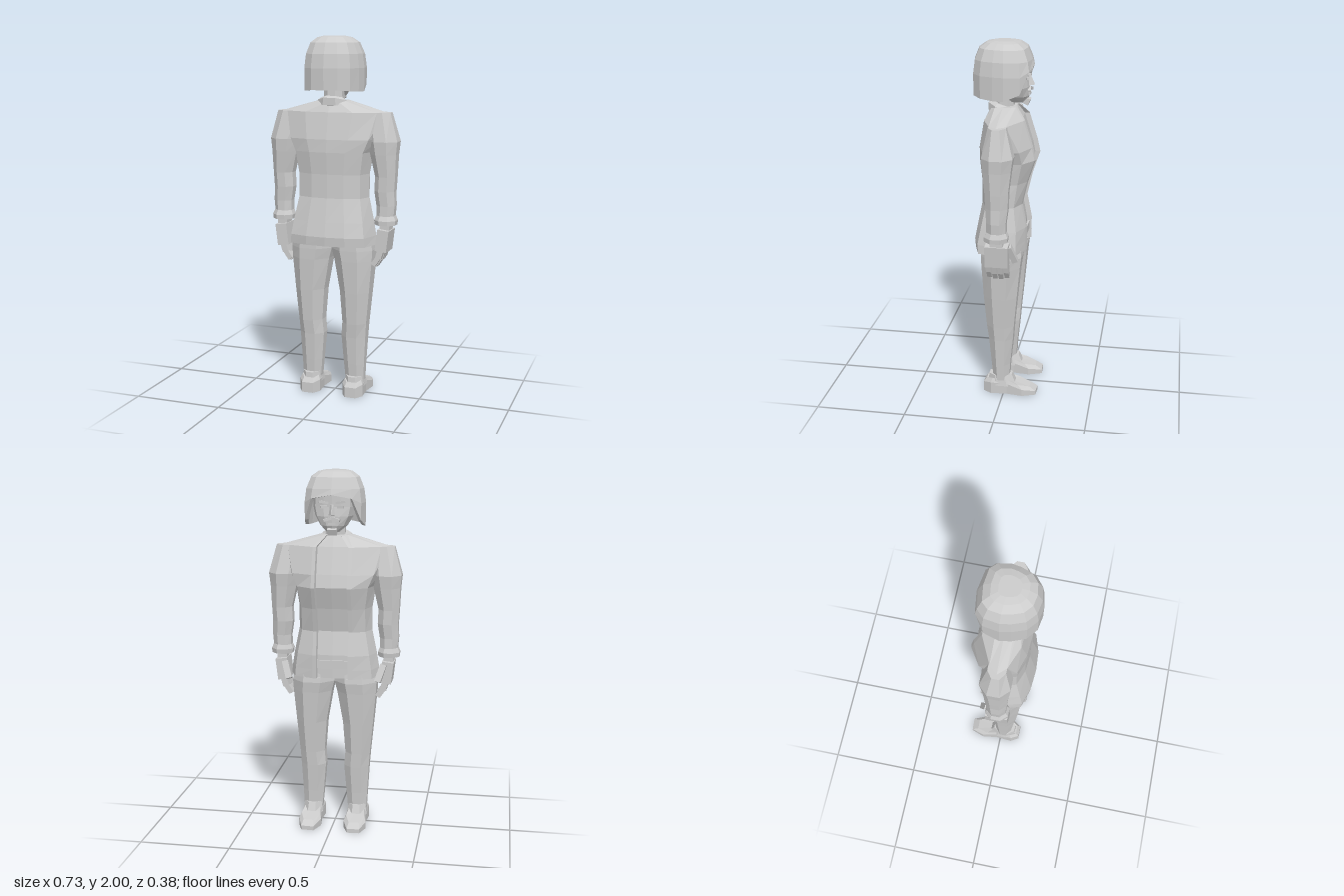
import * as THREE from 'three';

const grey = new THREE.MeshStandardMaterial({ color: 0xcccccc });
grey.name = 'plain grey';

// Flat-shaded skin over rings listed bottom to top, each counter-clockwise from above
function loft(rings, capBottom = true, capTop = true) {
  const pos = [];
  const tri = (...pts) => pts.forEach(p => pos.push(...p));
  const n = rings[0].length;
  for (let i = 0; i < rings.length - 1; i++) {
    for (let j = 0; j < n; j++) {
      const k = (j + 1) % n, lo = rings[i], hi = rings[i + 1];
      tri(lo[j], lo[k], hi[k]);
      tri(lo[j], hi[k], hi[j]);
    }
  }
  const cap = (ring, up) => {
    const mid = [0, 1, 2].map(a => ring.reduce((s, p) => s + p[a], 0) / n);
    ring.forEach((p, j) => {
      const q = ring[(j + 1) % n];
      up ? tri(mid, p, q) : tri(mid, q, p);
    });
  };
  if (capBottom) cap(rings[0], false);
  if (capTop) cap(rings[rings.length - 1], true);
  const geo = new THREE.BufferGeometry();
  geo.setAttribute('position', new THREE.Float32BufferAttribute(pos, 3));
  geo.computeVertexNormals();
  return geo;
}

// Octagonal ring given by its x and z extents; tilt raises the back
function oct(y, x0, x1, z0, z1, tilt = 0) {
  const ring = [];
  for (let i = 0; i < 8; i++) {
    const t = (i + 0.5) * Math.PI / 4, k = 1 / Math.cos(Math.PI / 8);
    const dz = -Math.sin(t) * k * (z1 - z0) / 2;
    ring.push([(x0 + x1) / 2 + Math.cos(t) * k * (x1 - x0) / 2, y + dz * tilt, (z0 + z1) / 2 + dz]);
  }
  return ring;
}

// Full ring from a half outline running from the back centre round to the front centre
const whole = half => [...half, ...half.slice(1, -1).reverse().map(([x, y, z]) => [-x, y, z])];
const flip = ring => ring.map(([x, y, z]) => [-x, y, z]).reverse();

export function createModel() {
  const model = new THREE.Group();
  model.name = 'figure';
  const add = (name, geo, parent = model) => {
    const mesh = new THREE.Mesh(geo, grey);
    mesh.name = name;
    parent.add(mesh);
    return mesh;
  };
  const box = (name, size, at, rot = [0, 0, 0], parent = model) => {
    const mesh = add(name, new THREE.BoxGeometry(...size), parent);
    mesh.position.set(...at);
    mesh.rotation.set(...rot);
    return mesh;
  };

  // Open jacket with a recessed shirt between its front edges: y, half width, back z, front z
  const jacket = [
    [0.87, 0.25, 0.17, -0.115], [0.92, 0.245, 0.175, -0.115], [1.0, 0.232, 0.16, -0.115],
    [1.13, 0.205, 0.135, -0.09], [1.26, 0.205, 0.135, -0.12], [1.38, 0.225, 0.145, -0.16],
    [1.45, 0.26, 0.143, -0.145], [1.595, 0.30, 0.115, -0.10], [1.655, 0.085, 0.085, -0.05]
  ].map(([y, w, b, f]) => {
    const e = Math.min(0.088, w * 0.45), d = y > 1.6 ? 0.005 : 0.022, hi = y > 1.5;
    return whole([
      [0, y, b], [w * 0.45, y, b - 0.008], [w * 0.86, y, hi ? 0.06 : b - 0.04], [w, y, 0.015],
      [w * 0.86, y, hi ? -0.03 : f * 0.65], [e + 0.02, y, f], [e, y, f - 0.005],
      [e - 0.004, y, f + d], [0, y, f + d - 0.006]
    ]);
  });
  add('jacket', loft(jacket));
  box('belt', [0.17, 0.045, 0.01], [0, 0.95, -0.104]);

  // Tilted collar and neck
  add('collar', loft([
    oct(1.61, -0.09, 0.09, -0.05, 0.10, 0.3), oct(1.65, -0.08, 0.08, -0.045, 0.10, 0.3),
    oct(1.665, -0.06, 0.06, -0.03, 0.08, 0.3)]));
  add('neck', loft([oct(1.6, -0.055, 0.055, -0.035, 0.07), oct(1.8, -0.05, 0.05, -0.03, 0.06)]));

  for (const s of [1, -1]) {
    const side = s > 0 ? 'left' : 'right';
    const paired = (name, rings) => add(side + name, loft(s > 0 ? rings : rings.map(flip)));

    // Sleeve with broad shoulder and flared cuff
    paired('Sleeve', [
      oct(1.0, 0.25, 0.345, -0.04, 0.065), oct(1.09, 0.25, 0.353, -0.04, 0.064),
      oct(1.17, 0.238, 0.35, -0.05, 0.07), oct(1.25, 0.242, 0.355, -0.052, 0.072),
      oct(1.37, 0.215, 0.36, -0.065, 0.085), oct(1.44, 0.2, 0.367, -0.075, 0.09),
      oct(1.595, 0.19, 0.325, -0.035, 0.06)]);
    paired('Cuff', [
      oct(0.985, 0.243, 0.358, -0.047, 0.077), oct(1.01, 0.24, 0.36, -0.05, 0.078),
      oct(1.035, 0.25, 0.35, -0.04, 0.065)]);

    // Hand with four curled fingers and a thumb
    const hand = new THREE.Group();
    hand.name = side + 'Hand';
    model.add(hand);
    box('wrist', [0.055, 0.06, 0.07], [s * 0.30, 0.975, 0.012], [0, 0, 0], hand);
    box('palm', [0.065, 0.12, 0.125], [s * 0.293, 0.90, 0.012], [0, 0, s * -0.12], hand);
    for (let i = 0; i < 4; i++) {
      const z = 0.06 - i * 0.032, drop = i === 0 || i === 3 ? 0.008 : 0;
      box('fingerBase', [0.034, 0.065, 0.028], [s * 0.282, 0.825 + drop, z], [0, 0, s * -0.3], hand);
      box('fingerTip', [0.028, 0.055, 0.026], [s * 0.259, 0.778 + drop, z], [0, 0, s * -0.6], hand);
    }
    box('thumb', [0.035, 0.10, 0.032], [s * 0.262, 0.90, -0.063], [0.35, 0, s * -0.3], hand);

    // Trouser leg
    paired('TrouserLeg', [
      oct(0.08, 0.075, 0.18, -0.03, 0.06), oct(0.18, 0.066, 0.185, -0.036, 0.07),
      oct(0.34, 0.053, 0.194, -0.052, 0.085), oct(0.42, 0.06, 0.2, -0.058, 0.095),
      oct(0.6, 0.047, 0.217, -0.075, 0.11), oct(0.78, 0.016, 0.233, -0.092, 0.122),
      oct(0.84, 0, 0.236, -0.1, 0.125), oct(0.92, 0, 0.225, -0.09, 0.125)]);

    // Shoe: heel to toe outline with a sloping upper: x, z, top height, inward pull
    const outline = [
      [0.095, 0.115, 0.07], [0.16, 0.115, 0.07], [0.187, 0.07, 0.08], [0.18, -0.02, 0.075],
      [0.192, -0.11, 0.05], [0.165, -0.185, 0.035], [0.095, -0.188, 0.035],
      [0.065, -0.11, 0.05], [0.075, -0.02, 0.075], [0.068, 0.07, 0.08]];
    const pull = (k, h) => outline.map(([x, z, y]) => [0.128 + (x - 0.128) * k, y + h, 0.02 + (z - 0.02) * k]);
    paired('Shoe', [outline.map(([x, z]) => [x, 0, z]), pull(1, -0.012), pull(0.82, 0.012)]);
    paired('ShoeCollar', [oct(0.05, 0.07, 0.186, -0.07, 0.09), oct(0.11, 0.08, 0.175, -0.045, 0.085)]);
  }

  // Face, narrowing to a jutting chin: y, half width, back z, front z
  add('face', loft([
    [1.675, 0.035, -0.02, -0.1], [1.71, 0.075, 0.04, -0.115], [1.76, 0.105, 0.08, -0.118],
    [1.81, 0.118, 0.1, -0.112], [1.9, 0.115, 0.1, -0.115]
  ].map(([y, w, b, f]) => whole([
    [0, y, b], [w * 0.8, y, b * 0.6 - 0.01], [w, y, (b + f) / 2 - 0.01],
    [w * 0.8, y, f * 0.78], [w * 0.4, y, f * 0.95], [0, y, f]]))));
  add('nose', loft([
    [[0, 1.762, -0.105], [0.02, 1.765, -0.112], [0, 1.768, -0.145], [-0.02, 1.765, -0.112]],
    [[0, 1.825, -0.1], [0.009, 1.825, -0.11], [0, 1.825, -0.12], [-0.009, 1.825, -0.11]]]));
  for (const s of [1, -1]) {
    box('eyebrow', [0.05, 0.012, 0.014], [s * 0.045, 1.835, -0.11], [0, s * 0.25, s * 0.15]);
    box('eye', [0.036, 0.013, 0.009], [s * 0.045, 1.81, -0.109], [0, s * 0.25, 0]);
    box('moustache', [0.045, 0.014, 0.016], [s * 0.022, 1.746, -0.118], [0, s * 0.15, s * -0.3]);
  }
  box('lowerLip', [0.04, 0.01, 0.012], [0, 1.722, -0.117]);
  box('beard', [0.05, 0.035, 0.035], [0, 1.682, -0.1], [-0.4, 0, 0]);

  // Bowl of hair: half outline x, z, hem height; the hem rises over the face
  const hairline = [
    [0, 0.188, 1.715], [0.075, 0.175, 1.715], [0.13, 0.13, 1.71], [0.156, 0.06, 1.705],
    [0.167, 0, 1.705], [0.153, -0.085, 1.74], [0.11, -0.128, 1.855], [0, -0.142, 1.875]];
  const hairRing = (k, y) => whole(hairline.map(([x, z, hem]) =>
    [x * k, y === undefined ? hem : Math.max(y, hem), 0.022 + (z - 0.022) * k]));
  add('hair', loft([
    hairRing(0.8, 1.88), hairRing(0.88), hairRing(0.99), hairRing(1, 1.83),
    hairRing(0.94, 1.905), hairRing(0.79, 1.965), hairRing(0.56, 1.992), hairRing(0.34, 2.0)], false));

  return model;
}
